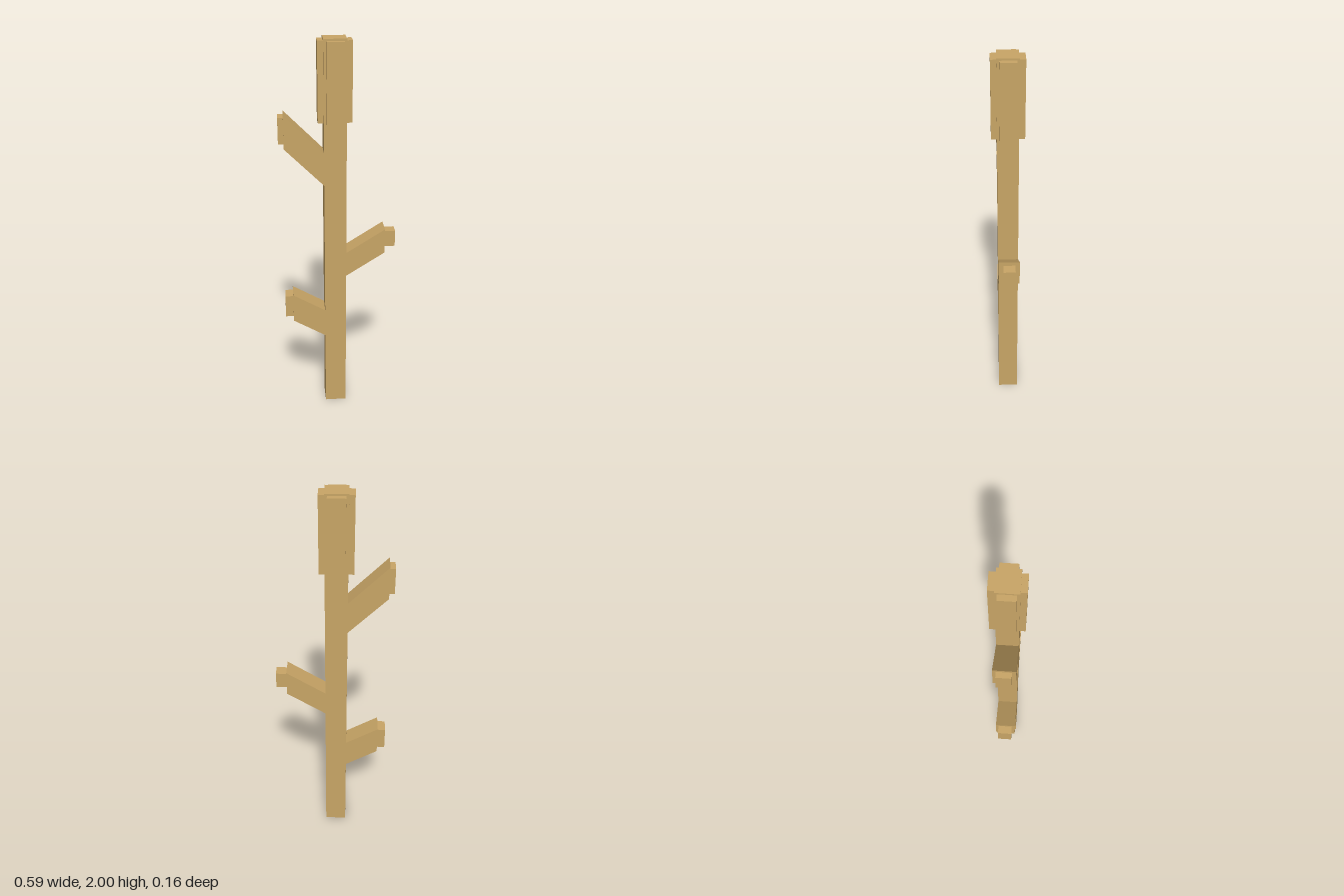
import * as THREE from 'three';

const wood = new THREE.MeshStandardMaterial({ color: 0xc8a566 });
wood.name = 'tan wood';

// Box given by its minimum and maximum corners
function block(name, [x0, y0, z0], [x1, y1, z1]) {
  const mesh = new THREE.Mesh(new THREE.BoxGeometry(x1 - x0, y1 - y0, z1 - z0), wood);
  mesh.position.set((x0 + x1) / 2, (y0 + y1) / 2, (z0 + z1) / 2);
  mesh.name = name;
  return mesh;
}

// Slanted branch with upright ends, plus a small block at its tip
function branch(name, root, end, tip) {
  const group = new THREE.Group();
  group.name = name;
  const shape = new THREE.Shape([
    new THREE.Vector2(root.x, root.y0), new THREE.Vector2(end.x, end.y0),
    new THREE.Vector2(end.x, end.y1), new THREE.Vector2(root.x, root.y1),
  ]);
  const geometry = new THREE.ExtrudeGeometry(shape, { depth: 0.104, bevelEnabled: false });
  geometry.translate(0, 0, -0.052);
  const arm = new THREE.Mesh(geometry, wood);
  arm.name = name + 'Arm';
  group.add(arm, block(name + 'Tip',
    [Math.min(end.x, tip.x), tip.y0, tip.z0], [Math.max(end.x, tip.x), tip.y1, tip.z1]));
  return group;
}

export function createModel() {
  const model = new THREE.Group();
  model.name = 'branchedPost';

  model.add(block('trunk', [-0.073, 0, -0.052], [0.038, 2, 0.052]));

  // Raised panels on the four sides of the head
  model.add(
    block('frontPanel', [-0.06, 1.6, 0.052], [0.025, 1.99, 0.08]),
    block('backPanel', [-0.06, 1.6, -0.081], [0.025, 1.99, -0.052]),
    block('rightPanel', [-0.101, 1.6, -0.041], [-0.073, 1.99, 0.039]),
    block('leftPanel', [0.038, 1.6, -0.041], [0.066, 1.99, 0.039]),
  );

  // Branches, from top to bottom
  model.add(
    branch('upperBranch', { x: -0.073, y0: 1.285, y1: 1.45 }, { x: -0.268, y0: 1.478, y1: 1.645 },
      { x: -0.295, y0: 1.498, y1: 1.63, z0: -0.036, z1: 0.034 }),
    branch('middleBranch', { x: 0.038, y0: 0.78, y1: 0.912 }, { x: 0.237, y0: 0.907, y1: 1.038 },
      { x: 0.293, y0: 0.933, y1: 1.018, z0: -0.03, z1: 0.029 }),
    branch('lowerBranch', { x: -0.073, y0: 0.423, y1: 0.578 }, { x: -0.241, y0: 0.522, y1: 0.676 },
      { x: -0.282, y0: 0.541, y1: 0.662, z0: -0.038, z1: 0.035 }),
  );
  return model;
}
